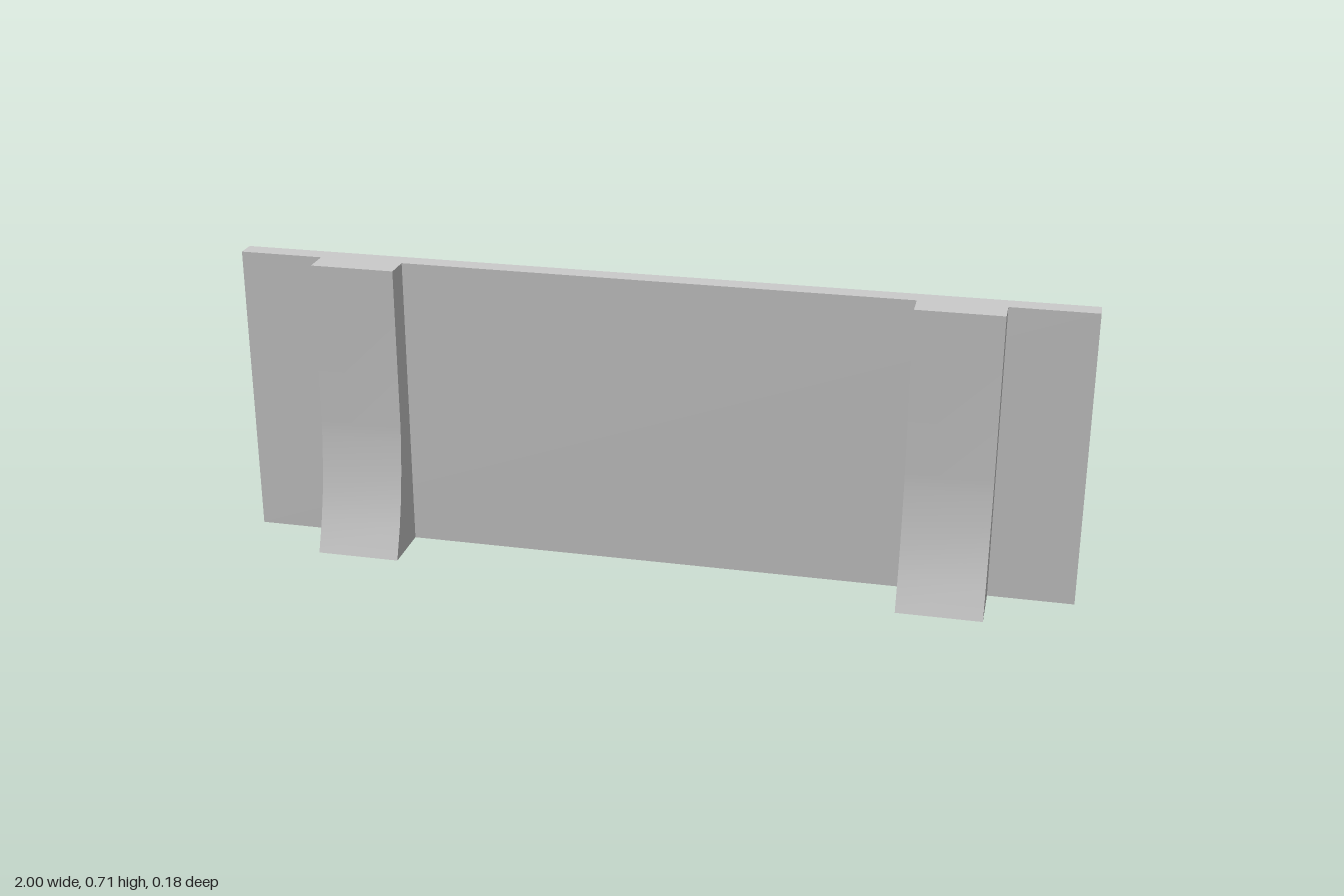
import * as THREE from 'three';
import { toCreasedNormals } from 'three/addons/utils/BufferGeometryUtils.js';

const HEIGHT = 0.71;
const BACK = -0.09;       // rear face of the wall
const WALL_FRONT = -0.044; // front face of the wall
const BUTTRESS_WIDTH = 0.2;

// Side profile (z, y) of a buttress: straight above, flaring out to the foot
function buttressGeometry() {
  const profile = [
    [WALL_FRONT, 0], [0.089, 0], [0.062, 0.071], [0.042, 0.142],
    [0.03, 0.212], [0.022, 0.282], [0.02, 0.32], [0.02, HEIGHT], [WALL_FRONT, HEIGHT],
  ];
  const shape = new THREE.Shape(profile.map(([z, y]) => new THREE.Vector2(z, y)));
  const geometry = new THREE.ExtrudeGeometry(shape, { depth: BUTTRESS_WIDTH, bevelEnabled: false });
  geometry.translate(0, 0, -BUTTRESS_WIDTH / 2);
  geometry.rotateY(-Math.PI / 2);
  return toCreasedNormals(geometry, Math.PI / 6);
}

export function createModel() {
  const group = new THREE.Group();
  group.name = 'buttressedWall';
  const material = new THREE.MeshStandardMaterial({ color: 0xcccccc });

  // Thin wall panel
  const thickness = WALL_FRONT - BACK;
  const wall = new THREE.Mesh(new THREE.BoxGeometry(2, HEIGHT, thickness), material);
  wall.name = 'wallPanel';
  wall.position.set(0, HEIGHT / 2, BACK + thickness / 2);
  group.add(wall);

  // Matching pair of flared buttresses
  const geometry = buttressGeometry();
  for (const side of [-1, 1]) {
    const buttress = new THREE.Mesh(geometry, material);
    buttress.name = side > 0 ? 'leftButtress' : 'rightButtress';
    buttress.position.x = side * 0.7;
    group.add(buttress);
  }
  return group;
}
